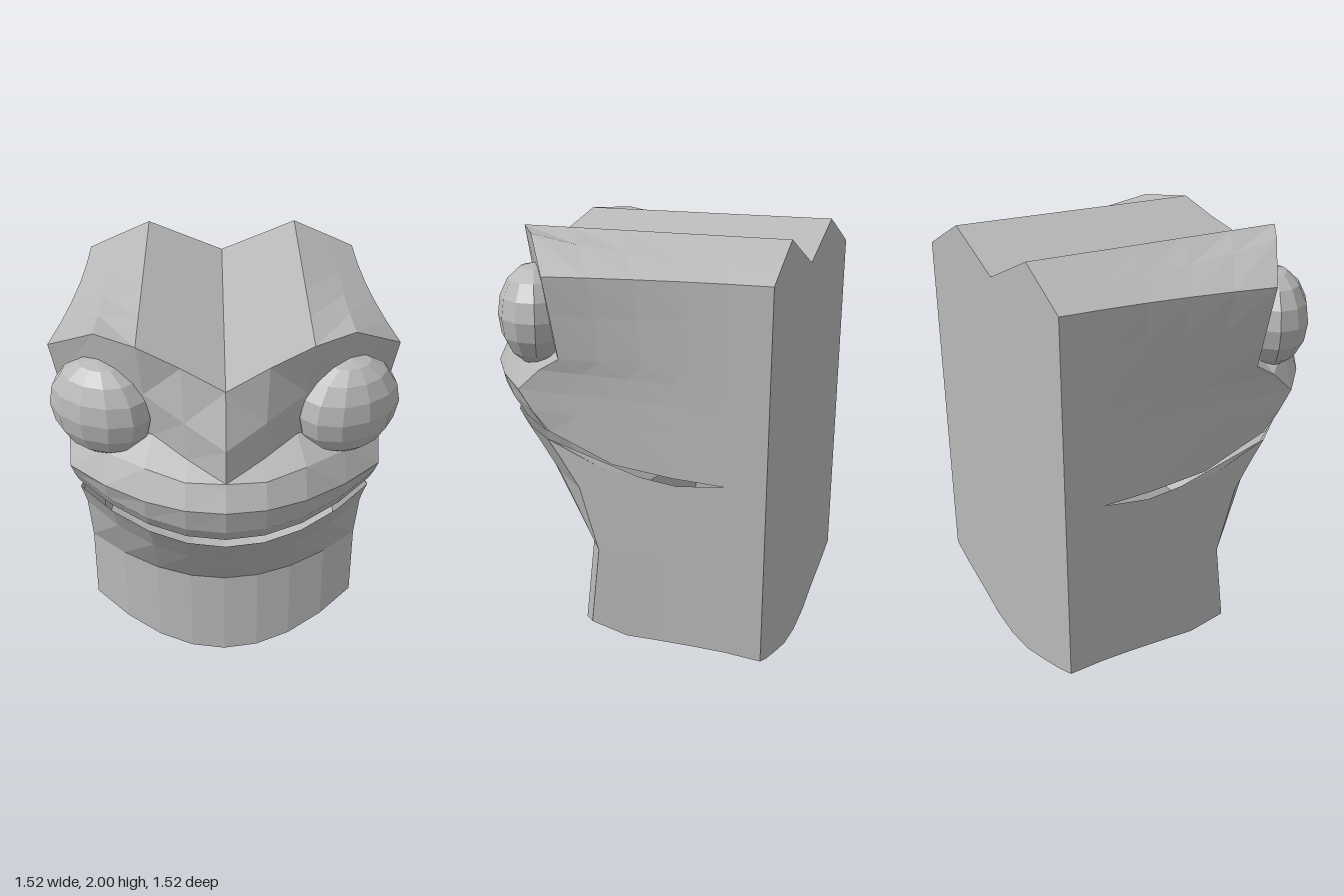
import * as THREE from 'three';

const COLS = [0, 0.25, 0.5, 0.76, 1];     // column positions from centre to side
const BACK_X = [0, 0.18, 0.36, 0.54, 0.66];
const BACK_Z = [-0.75, -0.75, -0.75, -0.758, -0.763];
const STEPS = 5;                          // divisions from front to back
const lerp = THREE.MathUtils.lerp;

// Front edge of a section bowed like a parabola from the centre to the side
function arc(sideX, cy, cz, sy, sz) {
  return COLS.map((u) => [u * sideX, lerp(cy, sy, u * u), lerp(cz, sz, u * u)]);
}

// One section of the head: front edge, side edge and back edge of the left half;
// path gives the [z, y] points of a side edge that is not straight
function section(front, backY, path) {
  const back = BACK_X.map((x, i) => [x, Array.isArray(backY) ? backY[i] : backY, BACK_Z[i]]);
  const f = front[4], b = back[4], side = [];
  for (let k = 0; k <= STEPS; k++) {
    const s = k / STEPS;
    side.push([
      lerp(b[0], f[0], (1 - s) ** 2),
      path ? path[k][1] : lerp(f[1], b[1], s),
      path ? path[k][0] : lerp(f[2], b[2], s),
    ]);
  }
  return { front, back, side };
}

const mirror = ([x, y, z]) => [-x, y, z];

// Closed loop of a section, anticlockwise seen from above
function loop({ front, side, back }) {
  const half = [...front, ...side.slice(1, STEPS), ...back.slice().reverse()];
  return [...half, ...half.slice(1, -1).reverse().map(mirror)];
}

// Grid that closes a section, running from its front edge to its back edge
function capGrid({ front, side, back }) {
  const rows = [];
  for (let k = 0; k <= STEPS; k++) {
    const s = k / STEPS;
    const half = COLS.map((u, i) => {
      const f = front[i], b = back[i];
      if (i === 4 && k < STEPS) return side[k];
      return [lerp(f[0], b[0], s), lerp(b[1], f[1], (1 - s) ** 3), lerp(f[2], b[2], s)];
    });
    rows.push([...half.slice(1).reverse().map(mirror), ...half]);
  }
  return rows;
}

// Adds two triangles for an anticlockwise quad, with either diagonal
function quad(out, a, b, c, d, other) {
  if (other) out.push(...b, ...c, ...d, ...b, ...d, ...a);
  else out.push(...a, ...b, ...c, ...a, ...c, ...d);
}

function addCap(out, sec, up) {
  const g = capGrid(sec);
  for (let k = 0; k < STEPS; k++) {
    for (let i = 0; i < 8; i++) {
      const q = [g[k][i], g[k][i + 1], g[k + 1][i + 1], g[k + 1][i]];
      if (!up) q.reverse();
      quad(out, ...q, i < 4);
    }
  }
}

// Faceted shell through sections from top to bottom, closed at the top or the bottom
function shell(sections, closedTop) {
  const out = [], loops = sections.map(loop), n = loops[0].length;
  for (let r = 0; r < loops.length - 1; r++) {
    for (let j = 0; j < n; j++) {
      const m = (j + 1) % n;
      quad(out, loops[r][j], loops[r + 1][j], loops[r + 1][m], loops[r][m], j >= n / 2);
    }
  }
  addCap(out, closedTop ? sections[0] : sections[sections.length - 1], closedTop);
  const geo = new THREE.BufferGeometry();
  geo.setAttribute('position', new THREE.Float32BufferAttribute(out, 3));
  geo.computeVertexNormals();
  return geo;
}

export function createModel() {
  const model = new THREE.Group();
  model.name = 'frogHead';
  const grey = new THREE.MeshStandardMaterial({ color: 0xb8b8b8, side: THREE.DoubleSide });
  grey.name = 'grey';

  const add = (name, geometry) => {
    const mesh = new THREE.Mesh(geometry, grey);
    mesh.name = name;
    model.add(mesh);
    return mesh;
  };

  // Upper head: crown, brow, eye sockets and upper lip, open at the mouth
  add('upperHead', shell([
    section([[0, 1.85, 0.59], [0.18, 1.925, 0.53], [0.36, 2, 0.49], [0.54, 1.99, 0.36], [0.76, 1.85, 0.2]],
      [1.85, 1.925, 2, 1.917, 1.86]),
    section([[0, 1.62, 0.68], [0.17, 1.69, 0.575], [0.34, 1.76, 0.46], [0.54, 1.73, 0.32], [0.735, 1.68, 0.18]],
      1.7),
    section([[0, 1.47, 0.7], [0.16, 1.51, 0.58], [0.31, 1.55, 0.45], [0.52, 1.5, 0.28], [0.705, 1.49, 0.16]],
      1.5),
    section([[0, 1.45, 0.71], [0.17, 1.465, 0.68], [0.34, 1.48, 0.6], [0.52, 1.46, 0.45], [0.695, 1.43, 0.26]],
      1.42),
    section(arc(0.69, 1.36, 0.76, 1.33, 0.37), 1.33),
    section(arc(0.685, 1.24, 0.74, 1.24, 0.31), 1.2),
    section(arc(0.68, 1.15, 0.68, 1.15, 0.24), 1,
      [[0.24, 1.15], [0.23, 1.146], [-0.07, 1.03], [-0.35, 1.005], [-0.58, 1], [-0.76, 1]]),
  ], true));

  // Lower head: jaw, throat and rounded underside, open at the mouth
  add('lowerJaw', shell([
    section(arc(0.675, 1.11, 0.68, 1.11, 0.24), 1,
      [[0.24, 1.11], [0.23, 1.106], [-0.07, 1], [-0.35, 0.97], [-0.58, 1], [-0.76, 1]]),
    section(arc(0.675, 1.03, 0.62, 1.03, 0.18), 0.93),
    section(arc(0.675, 0.87, 0.503, 0.9, 0.09), 0.82),
    section(arc(0.675, 0.51, 0.24, 0.61, 0), 0.6),
    section(arc(0.675, 0.05, 0.29, 0.24, 0.04), [0.005, 0.025, 0.08, 0.15, 0.205],
      [[0.04, 0.24], [-0.13, 0.2], [-0.28, 0.205], [-0.44, 0.21], [-0.6, 0.212], [-0.76, 0.205]]),
  ], false));

  // Bulging eyes, turned outwards
  for (const s of [1, -1]) {
    const ball = new THREE.SphereGeometry(1, 12, 8).toNonIndexed();
    ball.scale(0.242, 0.225, 0.167);
    ball.computeVertexNormals();
    const eye = add(s > 0 ? 'leftEye' : 'rightEye', ball);
    eye.position.set(0.53 * s, 1.64, 0.355);
    eye.rotation.y = 0.475 * s;
  }
  return model;
}
